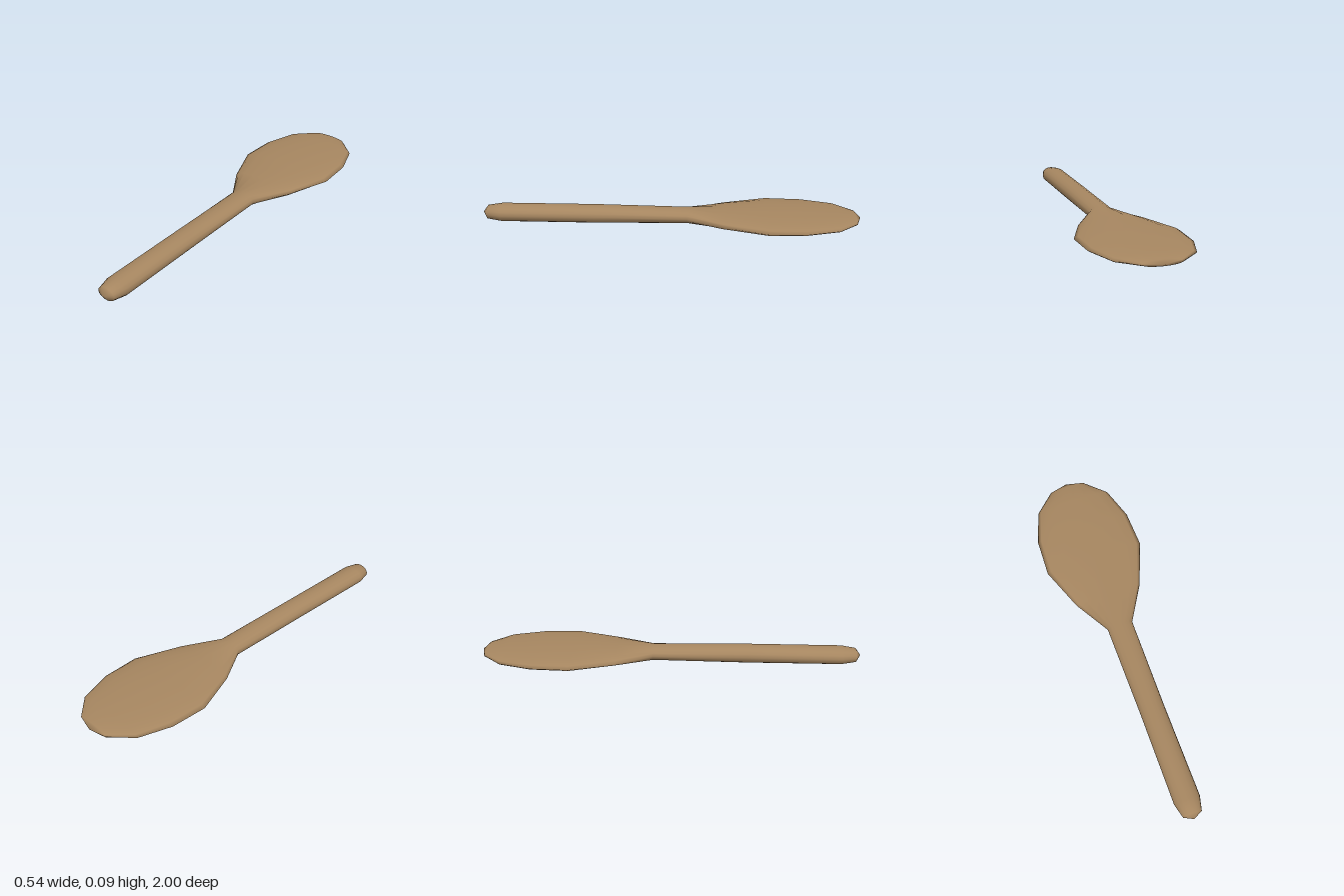
import * as THREE from 'three';

const SIDES = 16;
const CENTRE_Y = 0.049;

// Cross-sections from the handle end to the blade end: z, half width, half height
const SECTIONS = [
  [0.975, 0.05, 0.035],
  [0.9, 0.069, 0.046],
  [0.4, 0.066, 0.047],
  [-0.09, 0.069, 0.039],
  [-0.28, 0.181, 0.033],
  [-0.51, 0.268, 0.034],
  [-0.705, 0.26, 0.031],
  [-0.875, 0.204, 0.025],
  [-0.975, 0.098, 0.016],
];

// Skins the elliptical rings and closes each end on a single tip point
function loft(sections, frontZ, backZ) {
  const positions = [];
  const index = [];
  for (const [z, w, h] of sections) {
    for (let j = 0; j < SIDES; j++) {
      const a = (j / SIDES) * Math.PI * 2;
      positions.push(Math.cos(a) * w, CENTRE_Y + Math.sin(a) * h, z);
    }
  }
  const front = sections.length * SIDES;
  const back = front + 1;
  positions.push(0, CENTRE_Y, frontZ, 0, CENTRE_Y, backZ);

  const last = (sections.length - 1) * SIDES;
  for (let j = 0; j < SIDES; j++) {
    const k = (j + 1) % SIDES;
    index.push(front, j, k);
    for (let r = 0; r < last; r += SIDES) {
      index.push(r + j, r + SIDES + j, r + k);
      index.push(r + k, r + SIDES + j, r + SIDES + k);
    }
    index.push(back, last + k, last + j);
  }

  const geometry = new THREE.BufferGeometry();
  geometry.setAttribute('position', new THREE.Float32BufferAttribute(positions, 3));
  geometry.setIndex(index);
  geometry.computeVertexNormals();
  return geometry;
}

export function createModel() {
  const group = new THREE.Group();
  group.name = 'woodenPaddle';
  const wood = new THREE.MeshStandardMaterial({ color: 0xa68660 });
  wood.name = 'wood';

  // Handle flowing into the flat blade as one carved piece
  const paddle = new THREE.Mesh(loft(SECTIONS, 1, -1), wood);
  paddle.name = 'handleAndBlade';
  group.add(paddle);
  return group;
}
